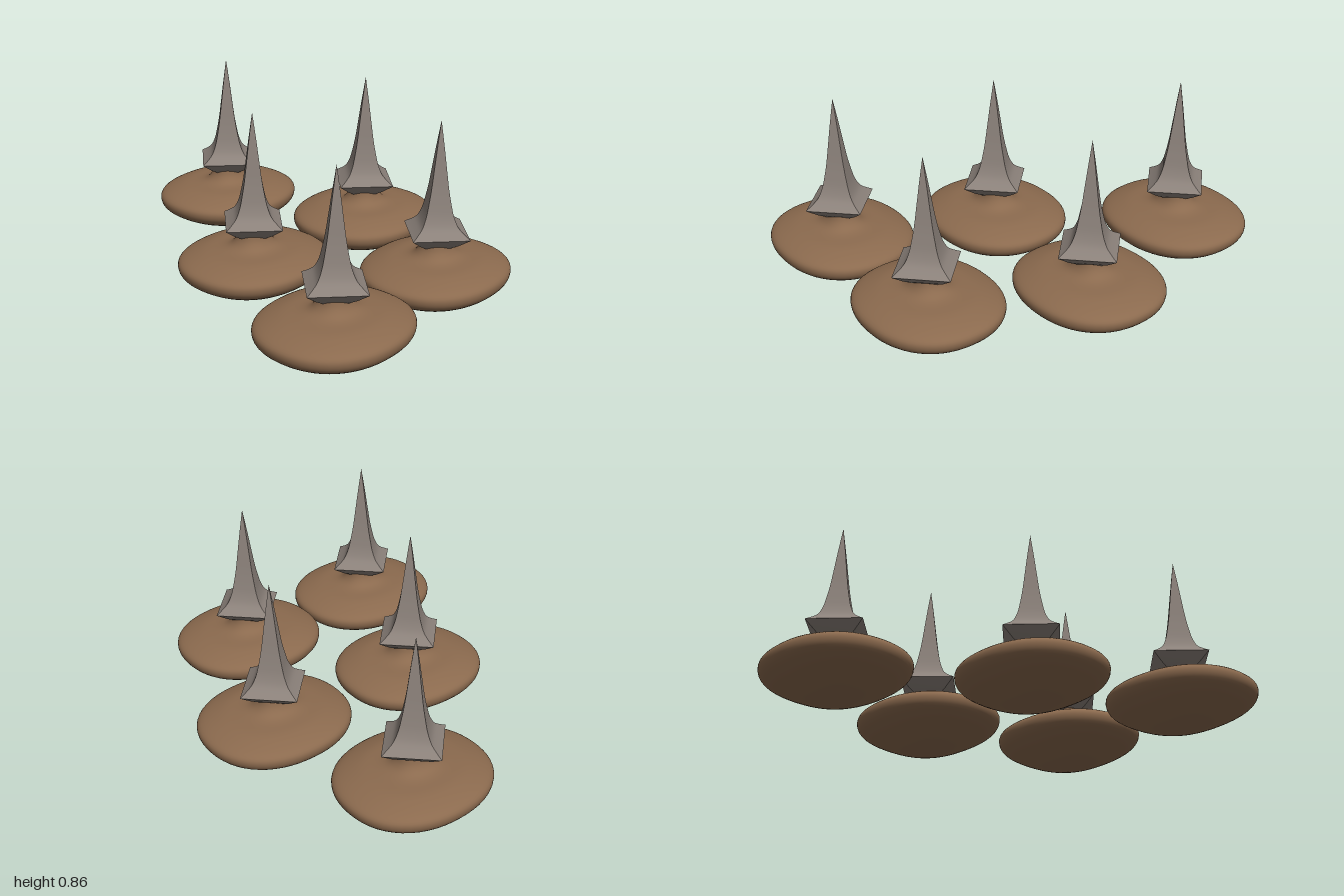
import * as THREE from 'three';
import { mergeVertices, toCreasedNormals } from 'three/addons/utils/BufferGeometryUtils.js';

const vec = (pts) => pts.map(([r, y]) => new THREE.Vector2(r, y));
const smooth = (pts, n) => {
  const out = new THREE.SplineCurve(vec(pts)).getPoints(n);
  out.forEach((p) => { p.x = Math.max(p.x, 0); });
  return out;
};

// Rounded, slightly squarish oval base with a narrow neck
function baseGeometry() {
  const profile = smooth([
    [0, 0.004], [0.1, 0.017], [0.22, 0.053], [0.325, 0.105], [0.355, 0.15], [0.335, 0.187],
    [0.24, 0.218], [0.15, 0.228], [0.108, 0.242], [0.084, 0.268], [0.074, 0.3],
  ], 44);
  let geo = new THREE.LatheGeometry(profile, 56);
  const pos = geo.attributes.position;
  const n = 2.2;
  for (let i = 0; i < pos.count; i++) {
    const x = pos.getX(i), z = pos.getZ(i), r = Math.hypot(x, z);
    if (r < 1e-6) continue;
    const k = (Math.abs(x / r) ** n + Math.abs(z / r) ** n) ** (-1 / n);
    pos.setX(i, x * k);
    pos.setZ(i, z * k * 0.887);
  }
  geo.deleteAttribute('normal');
  geo.deleteAttribute('uv');
  geo = mergeVertices(geo, 1e-5);
  geo.computeVertexNormals();
  return geo;
}

// Four-sided spike: corners lie on the x and z axes
function spikeGeometry() {
  const flange = vec([[0, 0.272], [0.075, 0.279], [0.12, 0.304], [0.18, 0.345]]);
  const blade = smooth([
    [0.18, 0.345], [0.145, 0.365], [0.112, 0.39], [0.088, 0.432],
    [0.073, 0.48], [0.056, 0.55], [0.04, 0.64], [0.022, 0.745], [0, 0.862],
  ], 24);
  const geo = new THREE.LatheGeometry([...flange, ...blade.slice(1)], 4);
  return toCreasedNormals(geo, 0.7);
}

export function createModel() {
  const brown = new THREE.MeshStandardMaterial({ color: 0x8b6a4e });
  brown.name = 'brown wood';
  const grey = new THREE.MeshStandardMaterial({ color: 0x8b817a });
  grey.name = 'warm grey metal';

  const base = baseGeometry();
  const spike = spikeGeometry();
  const group = new THREE.Group();
  group.name = 'spikeCluster';

  // Five identical spikes in a staggered group
  const places = [[0.3, -0.685], [-0.245, -0.015], [0.515, 0.03], [-0.518, 0.682], [0.205, 0.682]];
  places.forEach(([x, z], i) => {
    const unit = new THREE.Group();
    unit.name = `spikeUnit${i + 1}`;
    const b = new THREE.Mesh(base, brown);
    b.name = 'base';
    const s = new THREE.Mesh(spike, grey);
    s.name = 'spike';
    unit.add(b, s);
    unit.position.set(x, 0, z);
    group.add(unit);
  });
  return group;
}
